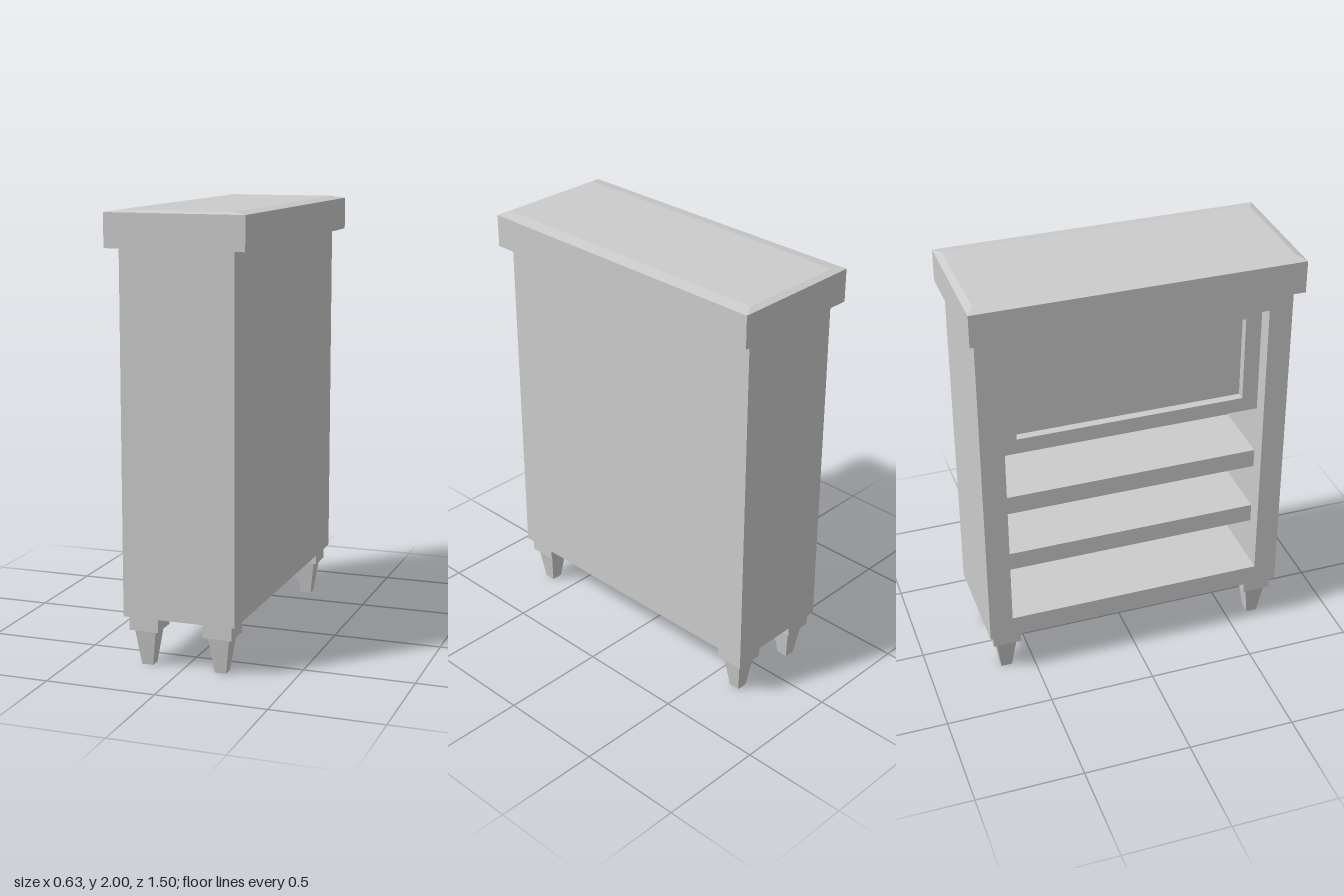
import * as THREE from 'three';

const material = new THREE.MeshStandardMaterial({ color: 0xcccccc, flatShading: true });

function add(parent, name, geometry) {
  const mesh = new THREE.Mesh(geometry, material);
  mesh.name = name;
  parent.add(mesh);
  return mesh;
}

// Box given by its limits on each axis
function box(x0, x1, y0, y1, z0, z1) {
  return new THREE.BoxGeometry(x1 - x0, y1 - y0, z1 - z0)
    .translate((x0 + x1) / 2, (y0 + y1) / 2, (z0 + z1) / 2);
}

// Rectangular frame in the z-y plane with a hole, running from x0 to x1
function frame(x0, x1, outer, inner) {
  const rect = (P, [w, y0, y1]) => new P([
    new THREE.Vector2(-w, y0), new THREE.Vector2(w, y0),
    new THREE.Vector2(w, y1), new THREE.Vector2(-w, y1),
  ]);
  const shape = rect(THREE.Shape, outer);
  shape.holes.push(rect(THREE.Path, inner));
  return new THREE.ExtrudeGeometry(shape, { depth: x1 - x0, bevelEnabled: false })
    .rotateY(-Math.PI / 2).translate(x1, 0, 0);
}

// Box whose upper or lower face is resized to sx by sz
function taperedBox(w, h, d, sx, sz, upper) {
  const g = new THREE.BoxGeometry(w, h, d);
  const p = g.attributes.position;
  for (let i = 0; i < p.count; i++) {
    if ((p.getY(i) > 0) === upper) {
      p.setX(i, Math.sign(p.getX(i)) * sx / 2);
      p.setZ(i, Math.sign(p.getZ(i)) * sz / 2);
    }
  }
  g.computeVertexNormals();
  return g;
}

export function createModel() {
  const model = new THREE.Group();
  model.name = 'cabinet';

  const halfX = 0.258, halfZ = 0.72, inZ = 0.61;
  const bottom = 0.23, top = 1.84, floor = 0.33, ceiling = 1.745;
  const back = 0.15, shelfFront = -0.18;

  // Carcass, open towards -x
  add(model, 'carcass', frame(-halfX, back, [halfZ, bottom, top], [inZ, floor, ceiling]));
  add(model, 'backPanel', box(back, halfX, bottom, top, -halfZ, halfZ));

  // Shelves set back from the opening
  for (const y of [0.645, 0.962]) {
    add(model, 'shelf', box(shelfFront, back, y - 0.09, y, -inZ, inZ));
  }

  // Closed upper compartment with a framed, recessed panel
  add(model, 'panelFrame', frame(shelfFront, -0.14, [inZ, 1.194, ceiling], [0.535, 1.264, 1.675]));
  add(model, 'upperCompartment', box(-0.14, back, 1.194, ceiling, -inZ, inZ));

  // Overhanging top with a shallow bevel
  add(model, 'topSlab', box(-0.314, 0.314, top, 1.99, -0.75, 0.75));
  add(model, 'topBevel', taperedBox(0.628, 0.01, 1.5, 0.51, 1.436, true)).position.y = 1.995;

  // Four legs: square block over a tapered foot
  for (const sx of [-1, 1]) {
    for (const sz of [-1, 1]) {
      const leg = new THREE.Group();
      leg.name = 'leg';
      leg.position.set(sx * 0.171, 0, sz * 0.635);
      add(leg, 'legBlock', box(-0.067, 0.067, 0.165, bottom, -0.067, 0.067));
      add(leg, 'legFoot', taperedBox(0.098, 0.165, 0.098, 0.052, 0.052, false)).position.y = 0.0825;
      model.add(leg);
    }
  }

  return model;
}
